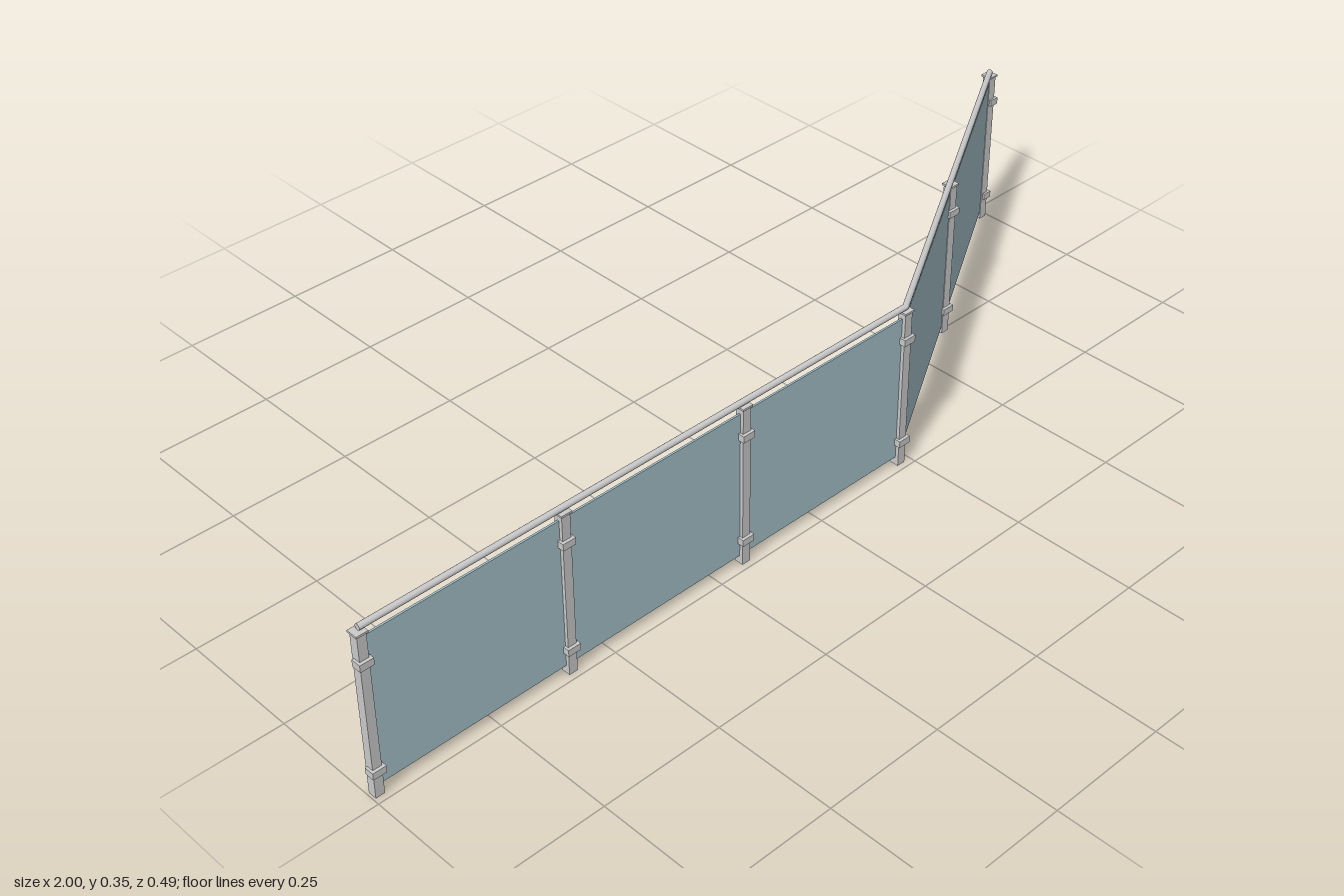
import * as THREE from 'three';

const metal = new THREE.MeshStandardMaterial({ color: 0xcccccc });
const glass = new THREE.MeshStandardMaterial({ color: 0xa6c3cc });

const START = new THREE.Vector3(-0.9865, 0, 0.2285);
const CORNER = new THREE.Vector3(0.225, 0, 0.2285);
const END = new THREE.Vector3(0.985, 0, -0.2285);

function addBox(parent, name, size, pos, material = metal) {
  const mesh = new THREE.Mesh(new THREE.BoxGeometry(...size), material);
  mesh.name = name;
  mesh.position.set(...pos);
  parent.add(mesh);
  return mesh;
}

// Square post with cap plate and two clamps that stand proud on one side
function createPost(position, clampAngle) {
  const post = new THREE.Group();
  post.name = 'post';
  post.position.copy(position);
  addBox(post, 'postShaft', [0.018, 0.338, 0.018], [0, 0.169, 0]);
  addBox(post, 'postCap', [0.023, 0.004, 0.023], [0, 0.34, 0]);
  const clamps = new THREE.Group();
  clamps.name = 'clamps';
  clamps.rotation.y = clampAngle;
  for (const y of [0.054, 0.281]) {
    addBox(clamps, 'clamp', [0.027, 0.014, 0.02], [0, y, 0.005]);
  }
  post.add(clamps);
  return post;
}

// Straight run of glass panels with a round handrail above
function createRun(from, to, count) {
  const run = new THREE.Group();
  run.name = 'railingRun';
  const dir = to.clone().sub(from);
  const length = dir.length();
  run.position.copy(from);
  run.rotation.y = Math.atan2(-dir.z, dir.x);
  const bay = length / count;
  for (let i = 0; i < count; i++) {
    addBox(run, 'glassPanel', [bay - 0.005, 0.31, 0.004], [(i + 0.5) * bay, 0.172, 0], glass);
  }
  const rail = new THREE.Mesh(new THREE.CylinderGeometry(0.006, 0.006, length, 20), metal);
  rail.name = 'handrail';
  rail.rotation.z = Math.PI / 2;
  rail.position.set(length / 2, 0.348, 0);
  run.add(rail);
  return run;
}

export function createModel() {
  const model = new THREE.Group();
  model.name = 'glassRailing';
  model.add(createRun(START, CORNER, 3), createRun(CORNER, END, 2));

  // Posts along both runs; the last one has its clamps turned sideways
  for (let i = 0; i <= 3; i++) model.add(createPost(START.clone().lerp(CORNER, i / 3), 0));
  model.add(createPost(CORNER.clone().lerp(END, 0.5), 0));
  model.add(createPost(END, Math.PI / 2));

  // Rounded joint where the handrail bends
  const joint = new THREE.Mesh(new THREE.SphereGeometry(0.006, 20, 12), metal);
  joint.name = 'handrailJoint';
  joint.position.set(CORNER.x, 0.348, CORNER.z);
  model.add(joint);
  return model;
}
